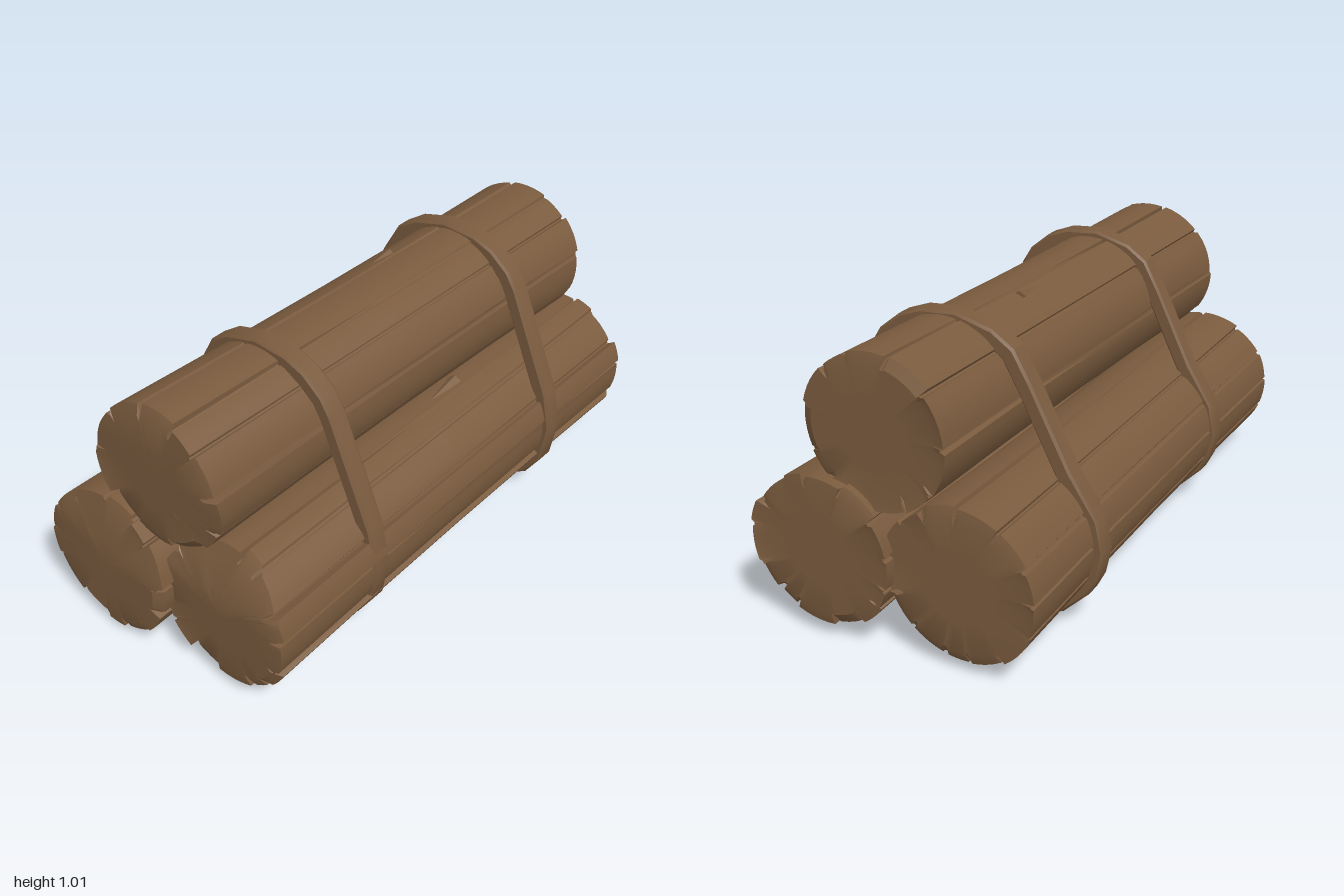
import * as THREE from 'three';
import { toCreasedNormals } from 'three/addons/utils/BufferGeometryUtils.js';

const wood = new THREE.MeshStandardMaterial({ color: 0x7a5b3e });
wood.name = 'brown wood';

function seeded(seed) {
  let s = seed;
  return () => (s = (s * 16807) % 2147483647) / 2147483647;
}

// Bark outline: plates of differing radius, separated by grooves that open towards the ends.
function barkOutline(seed, plates) {
  const rnd = seeded(seed);
  for (let i = 0; i < 5; i++) rnd();
  const starts = [];
  for (let i = 0; i < plates; i++) starts.push(((i + rnd() * 0.6) / plates) * Math.PI * 2);
  const points = [];
  starts.forEach((a, i) => {
    const end = i + 1 < plates ? starts[i + 1] : starts[0] + Math.PI * 2;
    const w = 0.035 + rnd() * 0.04;
    const lift = (rnd() - 0.6) * 0.014;
    const front = rnd() < 0.5 ? 0.035 * rnd() : 0.008;
    const back = rnd() < 0.5 ? 0.035 * rnd() : 0.008;
    const jagFront = (rnd() - 0.75) * 0.035, jagBack = (rnd() - 0.65) * 0.035;
    const base = { lift, jagFront, jagBack, front: 0, back: 0 };
    points.push({ ...base, a, front, back });
    points.push({ ...base, a: a + w * 0.6, front: front * 0.9, back: back * 0.9 });
    const n = 5;
    for (let k = 0; k <= n; k++) points.push({ ...base, a: a + w + ((end - a - w - 0.012) * k) / n });
  });
  return points;
}

// Log lofted from cross-sections along z, closed by slightly chipped ends.
function makeLog(name, { from, to, radius, seed, plates, chips }) {
  const outline = barkOutline(seed, plates);
  const position = [], index = [];
  const chipDepth = (x, y, front) => chips.reduce((sum, c) => (c.front === front
    ? sum + c.slope * Math.max(0, x * Math.cos(c.angle) + y * Math.sin(c.angle) - c.start) : sum), 0);
  const sections = [[0, 0], [0, 0.45], [0, 0.86], [0, 1], [0.25, 1], [0.5, 1], [0.75, 1], [1, 1], [1, 0.86], [1, 0.45], [1, 0]];
  for (const [t, scale] of sections) {
    const s = t * 2 - 1;
    for (const p of outline) {
      const groove = s > 0 ? p.front * s : p.back * -s;
      const r = scale * (radius * (0.965 + 0.035 * s * s) + p.lift - (groove + 0.003 * Math.sign(p.front)) * (scale === 1 ? 1 : 0.6));
      const x = r * Math.cos(p.a), y = r * Math.sin(p.a);
      let z = from[2] + (to[2] - from[2]) * t;
      if (t === 1) z += (scale === 1 ? p.jagFront : 0) - chipDepth(x, y, true);
      if (t === 0) z -= (scale === 1 ? p.jagBack : 0) - chipDepth(x, y, false);
      position.push(from[0] + (to[0] - from[0]) * t + x, from[1] + (to[1] - from[1]) * t + y, z);
    }
  }
  const n = outline.length, last = sections.length - 1;
  for (let i = 0; i < last; i++) {
    for (let j = 0; j < n; j++) {
      const k = (j + 1) % n;
      const a = i * n + j, b = i * n + k, c = a + n, d = b + n;
      if (i > 0) index.push(a, b, d);
      if (i < last - 1) index.push(a, d, c);
      else index[index.length - 1] = c;
    }
  }
  // the first ring is a single point, so it needs only the outer triangle of each quad
  const geometry = new THREE.BufferGeometry();
  geometry.setAttribute('position', new THREE.Float32BufferAttribute(position, 3));
  geometry.setIndex(index);
  const mesh = new THREE.Mesh(toCreasedNormals(geometry, 0.5), wood);
  mesh.name = name;
  return mesh;
}

// Strap: a band following the outside of the three logs.
const strapPath = [
  [-0.52, 0.3], [-0.5, 0.2], [-0.47, 0.14], [-0.38, 0.05], [-0.28, 0.006], [0.23, 0.001], [0.34, 0.035],
  [0.43, 0.09], [0.49, 0.18], [0.516, 0.33], [0.485, 0.475], [0.323, 0.85], [0.285, 0.91], [0.21, 0.97],
  [0.13, 1.0], [0, 1.01], [-0.13, 0.975], [-0.205, 0.925], [-0.265, 0.82], [-0.4, 0.555], [-0.497, 0.41],
].map(([x, y]) => new THREE.Vector2(x, y));

function inset(path, distance) {
  return path.map((p, i) => {
    const prev = path[(i + path.length - 1) % path.length], next = path[(i + 1) % path.length];
    const d = next.clone().sub(prev).normalize();
    return new THREE.Vector2(p.x - d.y * distance, p.y + d.x * distance);
  });
}

function makeStrap(name, z, widthScale) {
  const bevel = 0.008, width = 0.074;
  const shape = new THREE.Shape(inset(strapPath, bevel));
  shape.holes.push(new THREE.Path(inset(strapPath, 0.048)));
  const geometry = new THREE.ExtrudeGeometry(shape, {
    depth: width - 2 * bevel, bevelEnabled: true, bevelSize: bevel, bevelThickness: bevel, bevelSegments: 1,
  });
  geometry.translate(0, 0, -width / 2 + bevel);
  const mesh = new THREE.Mesh(toCreasedNormals(geometry, 0.45), wood);
  mesh.name = name;
  mesh.scale.x = widthScale;
  mesh.position.z = z;
  return mesh;
}

// Small raised sliver of bark
function makeSplinter(name, x, y, z, tilt) {
  const geometry = toCreasedNormals(new THREE.ConeGeometry(0.025, 0.16, 4), 0.2);
  geometry.rotateX(Math.PI / 2);
  const mesh = new THREE.Mesh(geometry, wood);
  mesh.name = name;
  mesh.scale.y = 0.6;
  mesh.position.set(x, y, z);
  mesh.rotation.x = tilt;
  return mesh;
}

export function createModel() {
  const model = new THREE.Group();
  model.name = 'logBundle';

  model.add(
    makeLog('topLog', {
      from: [0.052, 0.745, -0.95], to: [0.008, 0.735, 0.945], radius: 0.256, seed: 4711, plates: 11,
      chips: [{ front: true, angle: 1.7, start: 0.13, slope: 0.1 }, { front: true, angle: -0.6, start: 0.17, slope: 0.3 }],
    }),
    makeLog('rightLog', {
      from: [-0.228, 0.305, -0.955], to: [-0.225, 0.292, 0.998], radius: 0.264, seed: 90210, plates: 13,
      chips: [{ front: true, angle: 1.33, start: 0.08, slope: 0.2 }],
    }),
    makeLog('leftLog', {
      from: [0.245, 0.318, -0.992], to: [0.243, 0.305, 0.938], radius: 0.26, seed: 31337, plates: 14,
      chips: [{ front: true, angle: 1.6, start: 0.1, slope: 0.45 }],
    }),
    makeStrap('frontStrap', 0.449, 0.965),
    makeStrap('backStrap', -0.529, 1),
    makeSplinter('topSplinter', -0.05, 0.972, -0.17, 0.06),
    makeSplinter('leftSplinter', 0.25, 0.562, -0.18, 0.1),
  );
  return model;
}
